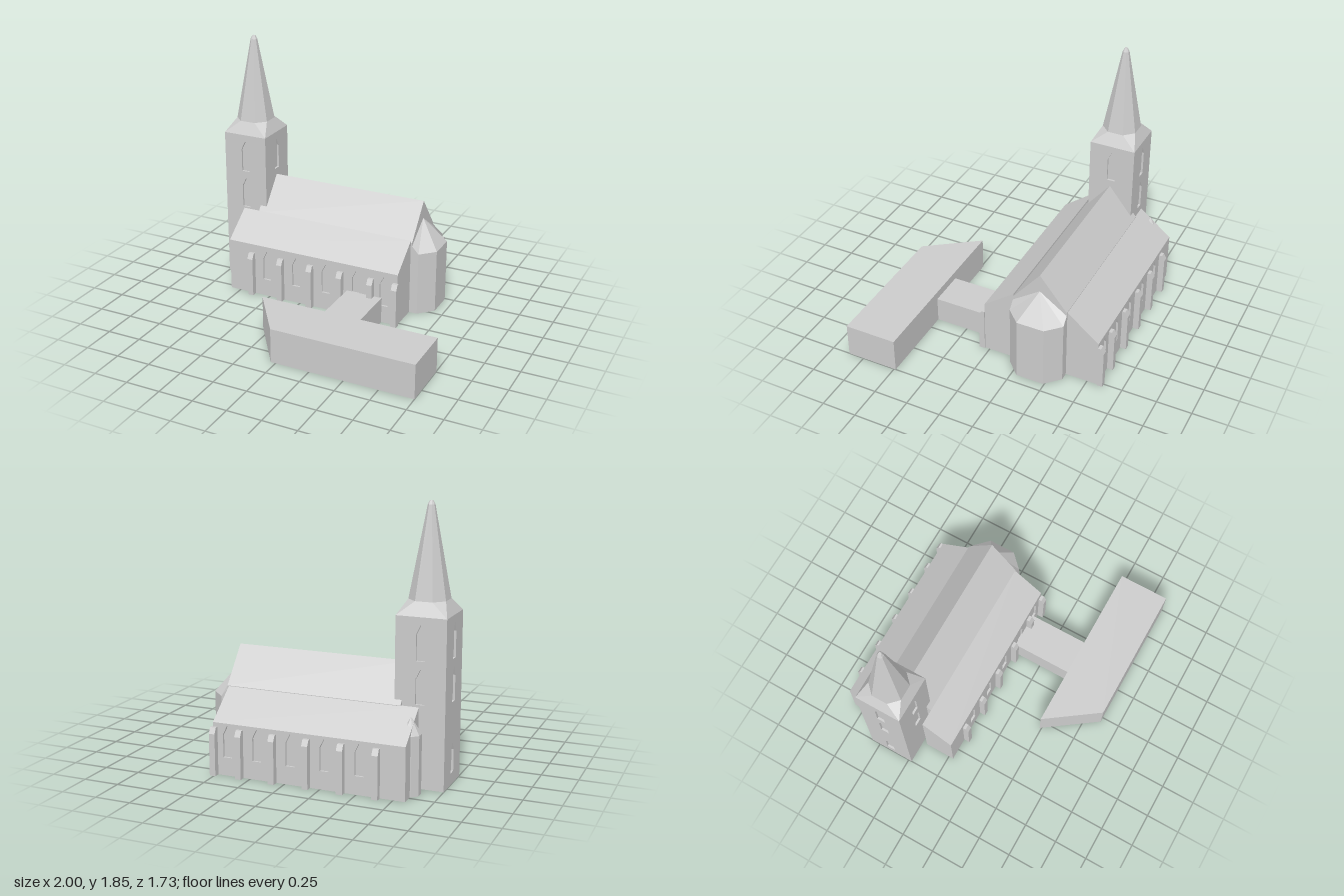
import * as THREE from 'three';

const DEPTH = 0.015; // window recess

export function createModel() {
  const stone = new THREE.MeshStandardMaterial({ color: 0xcccccc });
  stone.name = 'paleStone';
  const church = new THREE.Group();
  church.name = 'church';

  const add = (name, geometry, parent = church) => {
    const mesh = new THREE.Mesh(geometry, stone);
    mesh.name = name;
    parent.add(mesh);
    return mesh;
  };

  // Cross-section of [z, y] points swept from x0 to x1
  const sweepX = (points, x0, x1) => {
    const shape = new THREE.Shape(points.map(([z, y]) => new THREE.Vector2(-z, y)));
    return new THREE.ExtrudeGeometry(shape, { depth: x1 - x0, bevelEnabled: false })
      .rotateY(Math.PI / 2).translate(x0, 0, 0);
  };

  // Ground plan of [x, z] points raised to a height
  const raise = (points, height) => {
    const shape = new THREE.Shape(points.map(([x, z]) => new THREE.Vector2(x, -z)));
    return new THREE.ExtrudeGeometry(shape, { depth: height, bevelEnabled: false })
      .rotateX(-Math.PI / 2);
  };

  // Flat-shaded geometry from polygons, each a fan of [x, y, z] corners
  const facets = (polygons) => {
    const data = [];
    for (const p of polygons) {
      for (let i = 1; i < p.length - 1; i++) data.push(...p[0], ...p[i], ...p[i + 1]);
    }
    const geometry = new THREE.BufferGeometry();
    geometry.setAttribute('position', new THREE.Float32BufferAttribute(data, 3));
    geometry.computeVertexNormals();
    return geometry;
  };

  // Wall slab pierced by pointed windows [centre, sill, tip]
  const wall = (x0, x1, height, windows) => {
    const shape = new THREE.Shape([[x0, 0], [x1, 0], [x1, height], [x0, height]]
      .map(([x, y]) => new THREE.Vector2(x, y)));
    const w = 0.031;
    for (const [x, sill, tip] of windows) {
      shape.holes.push(new THREE.Path([
        [x - w, sill], [x - w, tip - 0.063], [x, tip], [x + w, tip - 0.063], [x + w, sill],
      ].map(([px, py]) => new THREE.Vector2(px, py))));
    }
    return new THREE.ExtrudeGeometry(shape, { depth: DEPTH, bevelEnabled: false });
  };

  // Nave with a steep gable roof
  add('nave', sweepX([[-0.19, 0], [-0.19, 0.55], [-0.39, 0.797], [-0.59, 0.55], [-0.59, 0]], -0.71, 0.53));

  // Side aisles: lean-to body, pierced wall and buttresses
  const windowXs = [-0.52, -0.28, -0.04, 0.2, 0.415];
  const buttressXs = [-0.64, -0.4, -0.16, 0.08, 0.32, 0.508];
  const aisle = (name, out, inner, eave, top, sill, tip) => {
    const group = new THREE.Group();
    group.name = name;
    church.add(group);
    const s = Math.sign(out - inner);
    const core = out - s * DEPTH;
    const lip = eave - 0.006;
    add('aisleBody', sweepX([
      [core, 0], [core, lip], [out, lip], [out, eave], [inner, top], [inner, 0],
    ], -0.83, 0.52), group);
    const panel = add('aisleWall', wall(-0.83, 0.52, lip, windowXs.map((x) => [x, sill, tip])), group);
    panel.position.z = s > 0 ? core : out;
    for (const x of buttressXs) {
      add('buttress', sweepX([
        [out, 0], [out + s * 0.043, 0], [out + s * 0.043, 0.29], [out + s * 0.022, 0.33], [out, 0.33],
      ], x - 0.021, x + 0.021), group);
    }
  };
  aisle('frontAisle', 0.035, -0.19, 0.395, 0.565, 0.13, 0.358);
  aisle('backAisle', -0.823, -0.585, 0.36, 0.55, 0.125, 0.345);

  // Polygonal apse with a faceted roof leaning on the gable
  const eaves = [
    [0.53, 0.525, -0.19], [0.58, 0.47, -0.19], [0.68, 0.47, -0.29],
    [0.68, 0.47, -0.49], [0.58, 0.47, -0.59], [0.53, 0.525, -0.59],
  ];
  const foot = ([x, , z]) => [x, 0, z];
  const apseWalls = [eaves.map(foot).reverse()];
  const apseRoof = [];
  for (let i = 0; i < eaves.length - 1; i++) {
    const a = eaves[i], b = eaves[i + 1];
    apseWalls.push([foot(a), foot(b), b, a]);
    apseRoof.push([a, b, [0.53, 0.665, -0.39]]);
  }
  add('apseWalls', facets(apseWalls));
  add('apseRoof', facets(apseRoof));

  // Tower: inner core with four pierced walls
  const tower = new THREE.Group();
  tower.name = 'tower';
  tower.position.set(-0.83, 0, -0.395);
  church.add(tower);
  const half = 0.17, height = 1.13;
  const inner = 2 * (half - DEPTH);
  add('towerCore', new THREE.BoxGeometry(inner, height, inner).translate(0, height / 2, 0), tower);
  const upper = [0, 0.845, 1.08], middle = [0, 0.56, 0.79], lower = [0, 0.08, 0.29];
  [[upper, middle], [upper], [upper, middle], [upper, middle, lower]].forEach((windows, i) => {
    const w = i % 2 ? half - DEPTH : half;
    const geometry = wall(-w, w, height, windows).translate(0, 0, half - DEPTH);
    add('towerWall', geometry, tower).rotation.y = i * Math.PI / 2;
  });

  // Broach spire: square base turning into a tall octagon
  const ring = (a, b, y) => [[-b, a], [b, a], [a, b], [a, -b], [b, -a], [-b, -a], [-a, -b], [-a, b]]
    .map(([x, z]) => [x, y, z]);
  const rings = [
    ring(half, half, height), ring(0.125, 0.058, 1.22),
    ring(0.022, 0.01, 1.82), ring(0.01, 0.005, 1.845),
  ];
  const spire = [rings[3]];
  for (let k = 0; k < 3; k++) {
    for (let i = 0; i < 8; i++) {
      const j = (i + 1) % 8;
      const low = rings[k], high = rings[k + 1];
      // Corner broaches start from a single point
      if (k === 0 && i % 2) spire.push([low[i], high[j], high[i]]);
      else spire.push([low[i], low[j], high[j], high[i]]);
    }
  }
  add('spire', facets(spire), tower);

  // Octagonal stair turret beside the tower
  const turret = new THREE.Group();
  turret.name = 'stairTurret';
  turret.position.set(-0.81, 0, -0.67);
  church.add(turret);
  const r = 0.07;
  const facet = Math.PI / 8;
  const shaft = new THREE.CylinderGeometry(r, r, 0.4, 8).toNonIndexed();
  const cap = new THREE.ConeGeometry(r, 0.11, 8).toNonIndexed();
  shaft.computeVertexNormals();
  cap.computeVertexNormals();
  add('turretShaft', shaft.rotateY(facet).translate(0, 0.2, 0), turret);
  add('turretRoof', cap.rotateY(facet).translate(0, 0.455, 0), turret);

  // Low annex and its link to the church
  add('link', raise([[0.13, 0.03], [0.4, 0.03], [0.4, 0.49], [0.13, 0.49]], 0.19));
  add('annex', raise([[-0.305, 0.487], [1, 0.487], [1, 0.866], [-0.035, 0.866]], 0.25));

  return church;
}
